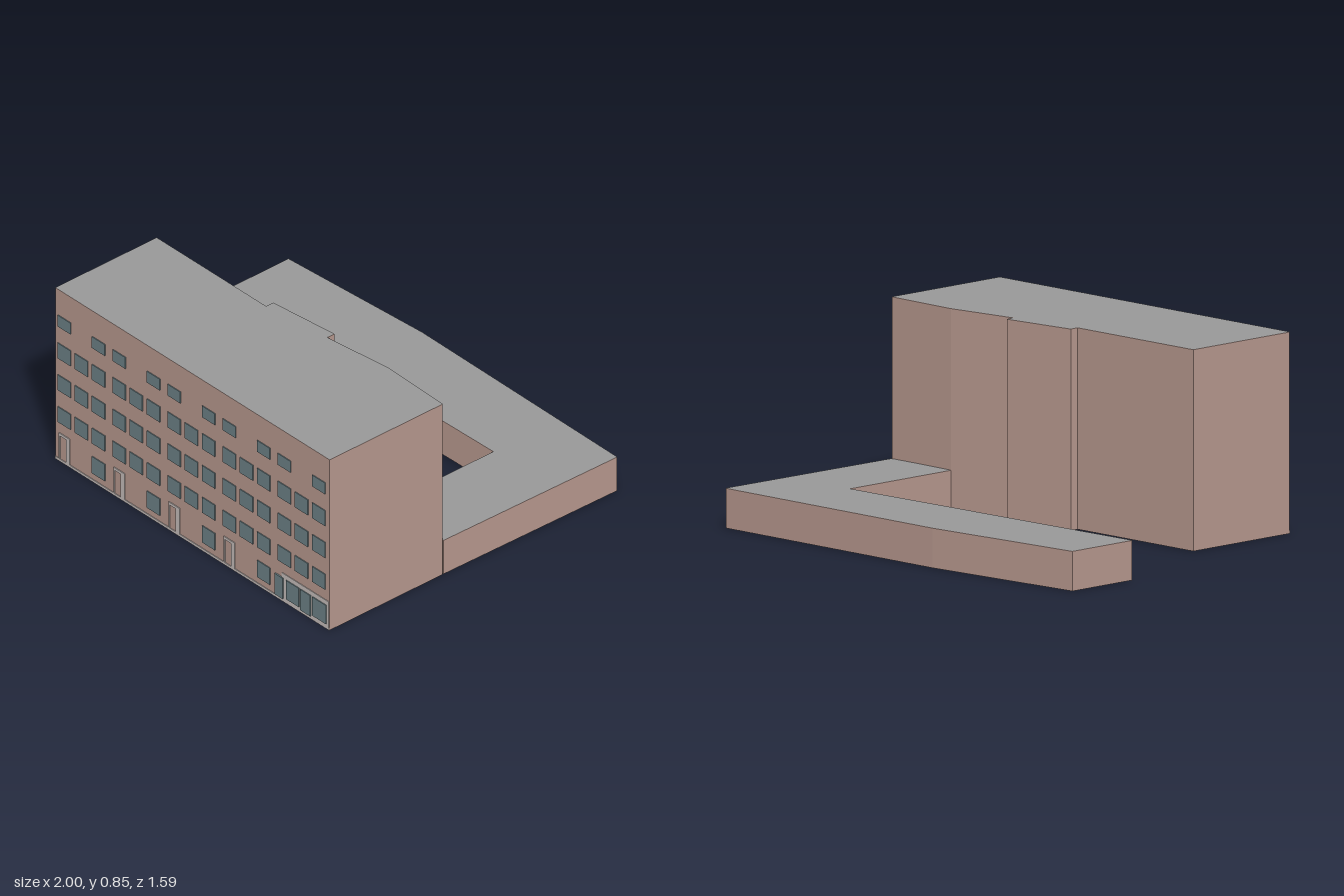
import * as THREE from 'three';

const mat = (name, color) => {
  const m = new THREE.MeshStandardMaterial({ color });
  m.name = name;
  return m;
};

export function createModel() {
  const model = new THREE.Group();
  model.name = 'building';
  const wall = mat('wall', 0xb8998f);
  const roof = mat('roof', 0x999999);
  const glass = mat('glass', 0x6c8186);
  const trim = mat('trim', 0xc6bebb);
  const FRONT = 0.788;

  // Footprint given as [x, z], raised to height h, with a separate flat roof
  function volume(name, points, h) {
    const shape = new THREE.Shape(points.map(([x, z]) => new THREE.Vector2(x, -z)));
    const group = new THREE.Group();
    group.name = name;
    const body = new THREE.Mesh(
      new THREE.ExtrudeGeometry(shape, { depth: h - 0.001, bevelEnabled: false }), wall);
    body.name = name + 'Walls';
    const top = new THREE.Mesh(new THREE.ShapeGeometry(shape), roof);
    top.name = name + 'Roof';
    top.position.z = h;
    group.add(body, top);
    group.rotation.x = -Math.PI / 2;
    model.add(group);
  }

  // Thin plate on the street front, from its left, right, bottom and top edges
  function plate(parent, name, x0, x1, y0, y1, material, depth = 0.004) {
    const m = new THREE.Mesh(new THREE.BoxGeometry(x1 - x0, y1 - y0, depth), material);
    m.name = name;
    m.position.set((x0 + x1) / 2, (y0 + y1) / 2, FRONT + depth / 2);
    parent.add(m);
  }
  function section(name) {
    const g = new THREE.Group();
    g.name = name;
    model.add(g);
    return g;
  }

  // Tall block with a stepped, skewed rear wall
  volume('mainBlock', [
    [-0.72, FRONT], [0.985, FRONT], [0.985, 0.165], [0.63, 0.155], [0.30, 0.195],
    [0.30, 0.155], [-0.04, 0.19], [-0.04, 0.23], [-0.72, 0.23],
  ], 0.847);

  // Low L-shaped wing round the courtyard
  volume('lowWing', [
    [0.63, 0.16], [0.985, 0.16], [0.998, -0.785], [-0.23, -0.796],
    [-1, -0.745], [-1, -0.4], [0.63, -0.43],
  ], 0.168);

  // Upper floor windows
  const columns = [-0.663, -0.557, -0.45, -0.322, -0.216, -0.108, 0.02, 0.127, 0.235,
    0.363, 0.47, 0.577, 0.705, 0.812, 0.92];
  const windows = section('windows');
  const floors = [[0.19, 0.266], [0.348, 0.424], [0.506, 0.582], [0.664, 0.72]];
  floors.forEach(([y0, y1], floor) => {
    columns.forEach((x, i) => {
      if (floor === 3 && [1, 4, 7, 10, 13].includes(i)) return;
      plate(windows, 'window', x - 0.04, x + 0.04, y0, y1, glass);
    });
  });

  // Ground floor windows
  for (const i of [2, 5, 8, 11]) {
    plate(windows, 'groundWindow', columns[i] - 0.04, columns[i] + 0.04, 0.042, 0.125, glass);
  }

  // Entrance surrounds: lintel and two jambs
  const doors = section('doorFrames');
  for (const i of [0, 3, 6, 9]) {
    const x = columns[i];
    plate(doors, 'doorLintel', x - 0.033, x + 0.035, 0.127, 0.14, trim);
    plate(doors, 'leftJamb', x + 0.012, x + 0.035, 0.012, 0.127, trim);
    plate(doors, 'rightJamb', x - 0.033, x - 0.027, 0.012, 0.127, trim);
  }

  // Shop front: pale frame with glazed panes
  const shop = section('shopFront');
  plate(shop, 'shopFrame', 0.69, 0.982, 0.012, 0.14, trim, 0.003);
  for (const [x0, x1, y0] of [[0.65, 0.7, 0.015], [0.72, 0.8, 0.025],
    [0.808, 0.872, 0.015], [0.884, 0.97, 0.025]]) {
    plate(shop, 'shopPane', x0, x1, y0, 0.118, glass, 0.007);
  }

  // Plinth strip along the pavement
  plate(model, 'plinth', -0.72, 0.985, 0, 0.012, trim, 0.003);
  return model;
}
